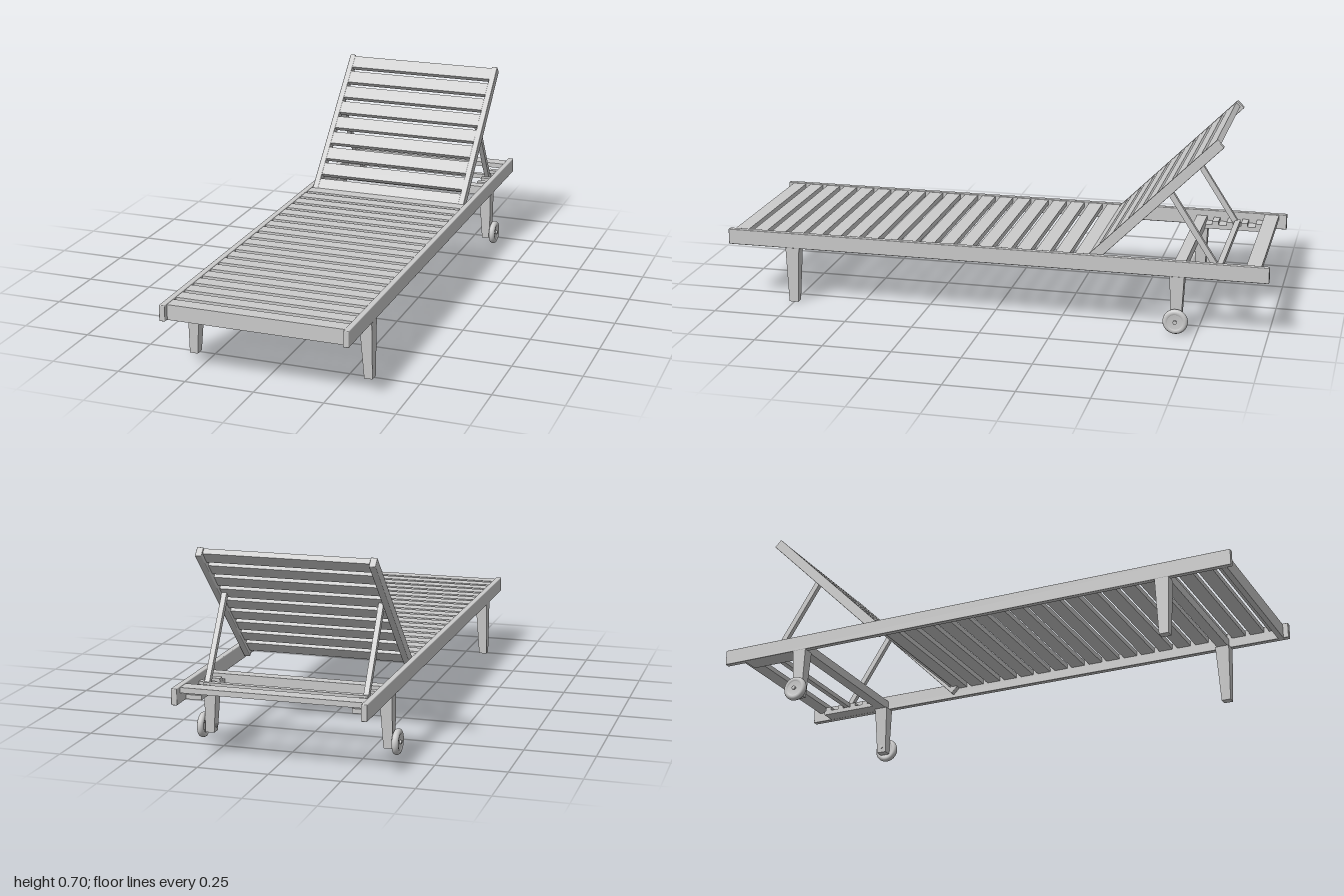
import * as THREE from 'three';
import { RoundedBoxGeometry } from 'three/addons/geometries/RoundedBoxGeometry.js';

const material = new THREE.MeshStandardMaterial({ color: 0xcccccc });

function add(parent, name, geometry, x = 0, y = 0, z = 0) {
  const mesh = new THREE.Mesh(geometry, material);
  mesh.name = name;
  mesh.position.set(x, y, z);
  parent.add(mesh);
  return mesh;
}

// Box given by its limits on each axis
function span(parent, name, [x0, x1], [y0, y1], [z0, z1], bevel = 0) {
  const size = [x1 - x0, y1 - y0, z1 - z0];
  const geometry = bevel ? new RoundedBoxGeometry(...size, 2, bevel) : new THREE.BoxGeometry(...size);
  return add(parent, name, geometry, (x0 + x1) / 2, (y0 + y1) / 2, (z0 + z1) / 2);
}

// Leg with a straight outer face, tapering inward and along z towards the foot
function legGeometry(side, bottom) {
  const top = 0.208;
  const geometry = new THREE.BoxGeometry(1, 1, 1);
  const p = geometry.attributes.position;
  for (let i = 0; i < p.count; i++) {
    const y = p.getY(i) > 0 ? top : bottom;
    const t = y / top;
    const outer = p.getX(i) * side > 0;
    p.setXYZ(i, side * (outer ? 0.338 : 0.308 - 0.015 * t), y, p.getZ(i) * (0.034 + 0.018 * t));
  }
  geometry.computeVertexNormals();
  return geometry;
}

// Wheel: rounded tyre around a recessed hub, turned about x
function wheelGeometry() {
  const profile = [[0, -0.008], [0.027, -0.008], [0.028, -0.011], [0.036, -0.012], [0.042, -0.009], [0.045, -0.003],
    [0.045, 0.003], [0.042, 0.009], [0.036, 0.012], [0.028, 0.011], [0.027, 0.008], [0, 0.008]];
  return new THREE.LatheGeometry(profile.map(([r, h]) => new THREE.Vector2(r, h)), 36).rotateZ(Math.PI / 2);
}

export function createModel() {
  const group = new THREE.Group();
  const inner = [-0.318, 0.318];
  const slatY = [0.243, 0.262];
  const pitch = 0.0715, slatWidth = 0.052;

  // Bed slats
  for (let i = 0; i < 19; i++) {
    const z = 0.954 - i * pitch;
    span(group, 'seatSlat', inner, slatY, [z - slatWidth / 2, z + slatWidth / 2]);
  }
  span(group, 'rearSlat', inner, slatY, [-0.97, -0.917]);
  span(group, 'frontApron', inner, [0.207, 0.243], [0.96, 0.98]);

  // Beams joining each pair of legs
  for (const z of [0.752, -0.677]) span(group, 'legBeam', inner, [0.208, 0.242], [z - 0.02, z + 0.02]);

  // Backrest frame: local +y runs up the slope, local +z is the lying face
  const back = new THREE.Group();
  back.name = 'backrest';
  back.position.set(0, 0.705, -0.8);
  back.rotation.x = -Math.PI / 4;
  group.add(back);
  for (let i = 0; i < 9; i++) {
    const y = -0.007 - i * 0.0718;
    span(back, 'backrestSlat', [-0.292, 0.292], [y - slatWidth, y], [-0.022, -0.001]);
  }

  for (const side of [-1, 1]) {
    const mirror = (a, b) => (side > 0 ? [a, b] : [-b, -a]);
    span(group, 'sideRail', mirror(0.317, 0.338), [0.207, 0.265], [-1, 1], 0.003);
    span(back, 'backrestRail', mirror(0.291, 0.314), [-0.655, 0], [-0.036, 0], 0.003);

    // Legs, wheels and axles
    add(group, 'frontLeg', legGeometry(side, 0), 0, 0, 0.752);
    add(group, 'rearLeg', legGeometry(side, 0.025), 0, 0, -0.677);
    add(group, 'wheel', wheelGeometry(), side * 0.351, 0.047, -0.677);
    const axle = new THREE.CylinderGeometry(0.007, 0.007, 0.064, 16).rotateZ(Math.PI / 2);
    add(group, 'axle', axle, side * 0.334, 0.047, -0.677);

    // Notched rack that catches the prop
    span(group, 'propRack', mirror(0.262, 0.318), [0.208, 0.224], [-0.918, -0.697]);
    for (let i = 0; i < 4; i++) {
      const z = -0.9 + i * 0.055;
      span(group, 'rackTooth', mirror(0.262, 0.318), [0.224, 0.238], [z - 0.012, z + 0.012]);
    }

    // Sloping prop arm
    const top = new THREE.Vector2(-0.63, 0.515), foot = new THREE.Vector2(-0.815, 0.23);
    const arm = add(group, 'propArm', new THREE.BoxGeometry(0.018, top.distanceTo(foot), 0.02),
      side * 0.281, (top.y + foot.y) / 2, (top.x + foot.x) / 2);
    arm.rotation.x = Math.atan2(top.x - foot.x, top.y - foot.y);
  }

  // Bar between the feet of the prop arms
  span(group, 'propBar', [-0.29, 0.29], [0.226, 0.244], [-0.828, -0.808]);
  return group;
}
